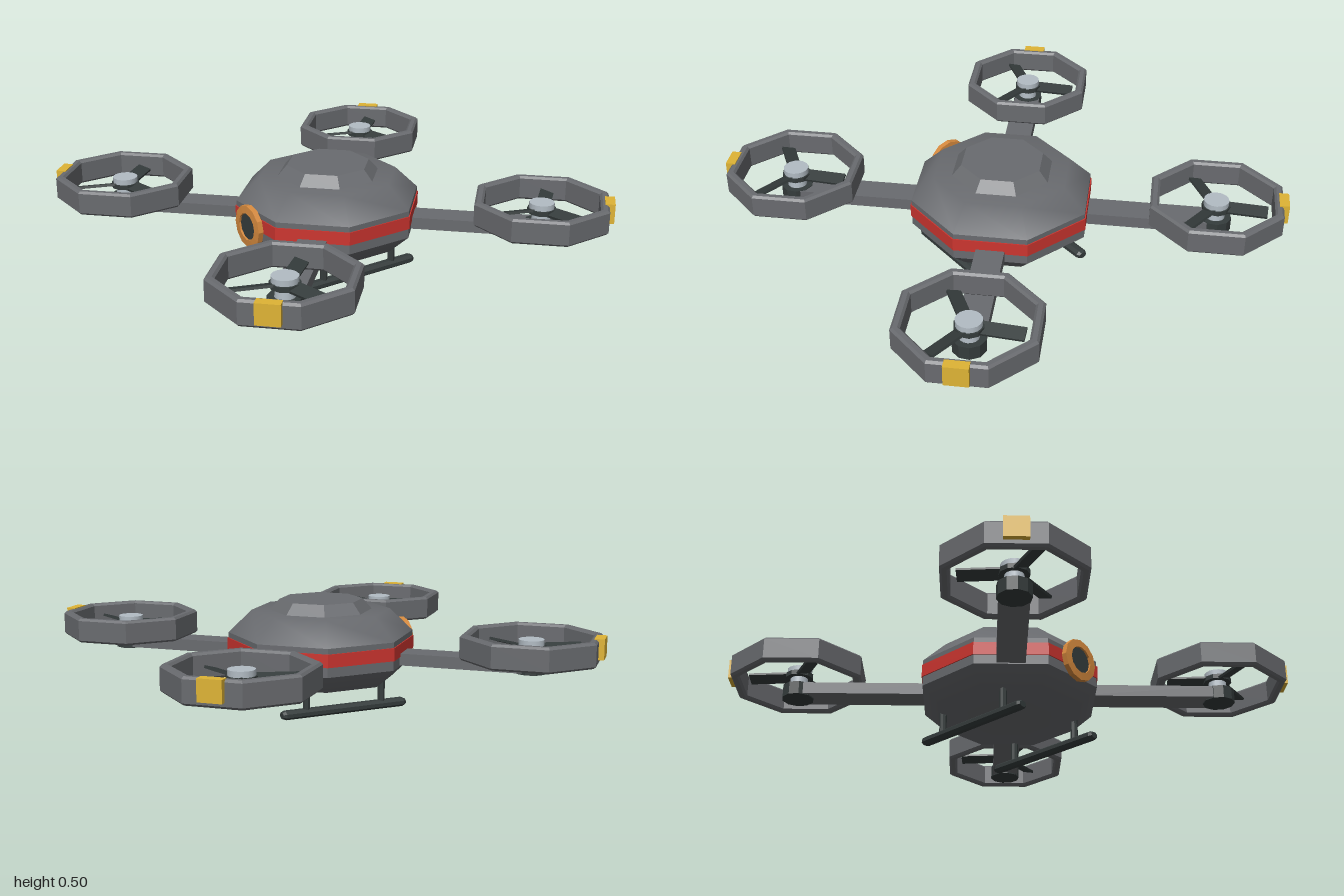
import * as THREE from 'three';

const paint = (name, hex) => {
  const m = new THREE.MeshStandardMaterial({ color: hex });
  m.name = name;
  return m;
};

// Separate the faces so every facet is shaded flat
const flat = (g) => {
  const f = g.index ? g.toNonIndexed() : g;
  f.computeVertexNormals();
  return f;
};

// Octagonal solid of revolution; profile is [distance to flat side, y], bottom to top
const APOTHEM = 1 / Math.cos(Math.PI / 8);
const octagon = (profile) => new THREE.LatheGeometry(
  profile.map(([r, y]) => new THREE.Vector2(r * APOTHEM, y)), 8, Math.PI / 8);

export function createModel() {
  const grey = paint('hull grey', 0x696b6f);
  const dark = paint('dark rubber', 0x353c3c);
  const red = paint('red stripe', 0xcc352f);
  const orange = paint('orange trim', 0xd68a3e);
  const yellow = paint('yellow marker', 0xdfb435);
  const silver = paint('silver metal', 0xb2bcc4);

  const model = new THREE.Group();
  model.name = 'quadcopter';
  const add = (parent, name, geometry, material, x = 0, y = 0, z = 0) => {
    const mesh = new THREE.Mesh(geometry, material);
    mesh.name = name;
    mesh.position.set(x, y, z);
    parent.add(mesh);
    return mesh;
  };

  // Hull: smooth shells above and below a faceted waist
  add(model, 'upperShell', octagon([[0.4, 0.34], [0.3, 0.445], [0, 0.445]]), grey);
  add(model, 'lowerShell', octagon([[0, 0.12], [0.31, 0.12], [0.4, 0.21]]), grey);
  add(model, 'waist', flat(octagon([[0.4, 0.21], [0.4, 0.34]])), grey);
  add(model, 'waistStripe', flat(octagon([[0.398, 0.255], [0.405, 0.255], [0.405, 0.315], [0.398, 0.315]])), red);
  add(model, 'topHatch', flat(octagon([[0.225, 0.44], [0.18, 0.495], [0, 0.495]])), grey);

  // Front camera: dark barrel inside an orange ring
  const camera = new THREE.Group();
  camera.name = 'frontCamera';
  camera.position.set(0, 0.275, 0.395);
  camera.rotation.x = Math.PI / 2;
  model.add(camera);
  add(camera, 'lens', new THREE.CylinderGeometry(0.066, 0.066, 0.045, 12), dark, 0, 0.0225, 0);
  const rim = [[0.064, 0.027], [0.1, 0.027], [0.1, 0.052], [0.064, 0.055], [0.064, 0.027]];
  add(camera, 'lensRing', flat(new THREE.LatheGeometry(
    rim.map(([r, y]) => new THREE.Vector2(r, y)), 12)), orange);

  // Shared rotor geometries
  const guardGeometry = flat(octagon([
    [0.27, 0.27], [0.29, 0.27], [0.3, 0.28], [0.3, 0.375], [0.29, 0.385],
    [0.27, 0.385], [0.26, 0.375], [0.26, 0.28], [0.27, 0.27]]));
  const podGeometry = flat(new THREE.CylinderGeometry(0.075, 0.075, 0.062, 10));
  const stemGeometry = new THREE.CylinderGeometry(0.04, 0.045, 0.06, 16);
  const hubGeometry = flat(new THREE.CylinderGeometry(0.066, 0.066, 0.022, 10));
  const capGeometry = new THREE.CylinderGeometry(0.058, 0.058, 0.03, 16);
  const bladeGeometry = new THREE.BoxGeometry(0.195, 0.012, 0.064);
  bladeGeometry.rotateX(0.3).translate(0.138, 0, 0);
  const markerGeometry = new THREE.BoxGeometry(0.104, 0.093, 0.045);
  const armGeometry = new THREE.BoxGeometry(0.13, 0.055, 0.66);

  for (const sx of [1, -1]) {
    for (const sz of [1, -1]) {
      const side = `${sz > 0 ? 'front' : 'back'}${sx > 0 ? 'Left' : 'Right'}`;
      const angle = Math.atan2(sx, sz);

      // Arm from the hull to the motor
      const arm = add(model, `${side}Arm`, armGeometry, grey, sx * 0.46, 0.2425, sz * 0.46);
      arm.rotation.y = angle;

      // Guard ring, motor and three blades
      const rotor = new THREE.Group();
      rotor.name = `${side}Rotor`;
      rotor.position.set(sx * 0.7, 0, sz * 0.7);
      model.add(rotor);
      add(rotor, 'guardRing', guardGeometry, grey);
      add(rotor, 'motorPod', podGeometry, dark, 0, 0.241, 0);
      add(rotor, 'motorStem', stemGeometry, silver, 0, 0.3, 0);
      add(rotor, 'bladeHub', hubGeometry, dark, 0, 0.325, 0);
      add(rotor, 'hubCap', capGeometry, silver, 0, 0.347, 0);
      for (let i = 0; i < 3; i++) {
        const blade = add(rotor, 'blade', bladeGeometry, dark, 0, 0.325, 0);
        blade.rotation.y = THREE.MathUtils.degToRad(10 + 120 * i);
      }

      // Marker block on the outer corner of the guard
      const marker = add(rotor, 'cornerMarker', markerGeometry, yellow, sx * 0.214, 0.3425, sz * 0.214);
      marker.rotation.y = angle;

      // Landing leg
      add(model, `${side}Leg`, flat(new THREE.CylinderGeometry(0.017, 0.017, 0.11, 8)), dark,
        sx * 0.24, 0.085, sz * 0.193);
    }

    // Landing skid: eight-sided rod with chamfered ends
    const rod = [[0, -0.315], [0.014, -0.315], [0.02, -0.3], [0.02, 0.3], [0.014, 0.315], [0, 0.315]];
    const skid = octagon(rod).rotateX(Math.PI / 2).scale(1.35, 1, 1);
    add(model, sx > 0 ? 'leftSkid' : 'rightSkid', flat(skid), dark, sx * 0.24, 0.02, 0);
  }

  return model;
}
